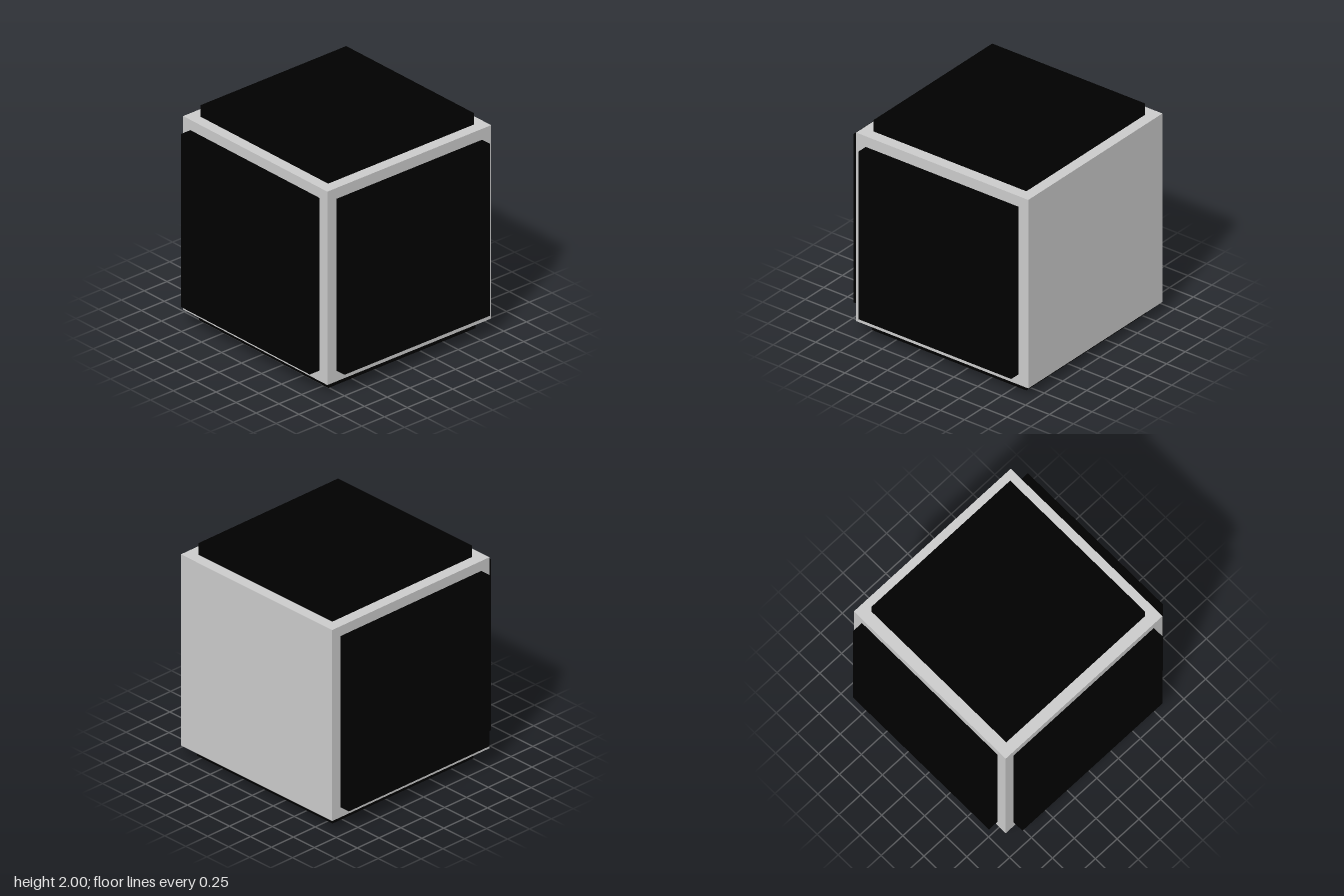
import * as THREE from 'three';

export function createModel() {
  const model = new THREE.Group();
  const grey = new THREE.MeshStandardMaterial({ color: 0xcccccc });
  const black = new THREE.MeshStandardMaterial({ color: 0x000000 });

  // Box given by its lowest and highest corners
  function addBox(name, material, min, max) {
    const size = max.map((v, i) => v - min[i]);
    const mesh = new THREE.Mesh(new THREE.BoxGeometry(...size), material);
    mesh.position.set(...max.map((v, i) => (v + min[i]) / 2));
    mesh.name = name;
    model.add(mesh);
  }

  // Cube core; its +x face stays bare
  addBox('core', grey, [-0.85, 0.095, -0.9], [0.95, 1.893, 0.9]);

  // Raised plates on the other five faces
  addBox('topPlate', black, [-0.75, 1.893, -0.797], [0.85, 2, 0.797]);
  addBox('bottomPlate', black, [-0.757, 0, -0.807], [0.857, 0.095, 0.807]);
  addBox('frontPlate', black, [-0.75, 0.195, 0.9], [0.85, 1.792, 1]);
  addBox('backPlate', black, [-0.755, 0.19, -1], [0.855, 1.8, -0.9]);
  addBox('rightPlate', black, [-0.955, 0.19, -0.81], [-0.85, 1.797, 0.8]);

  return model;
}
